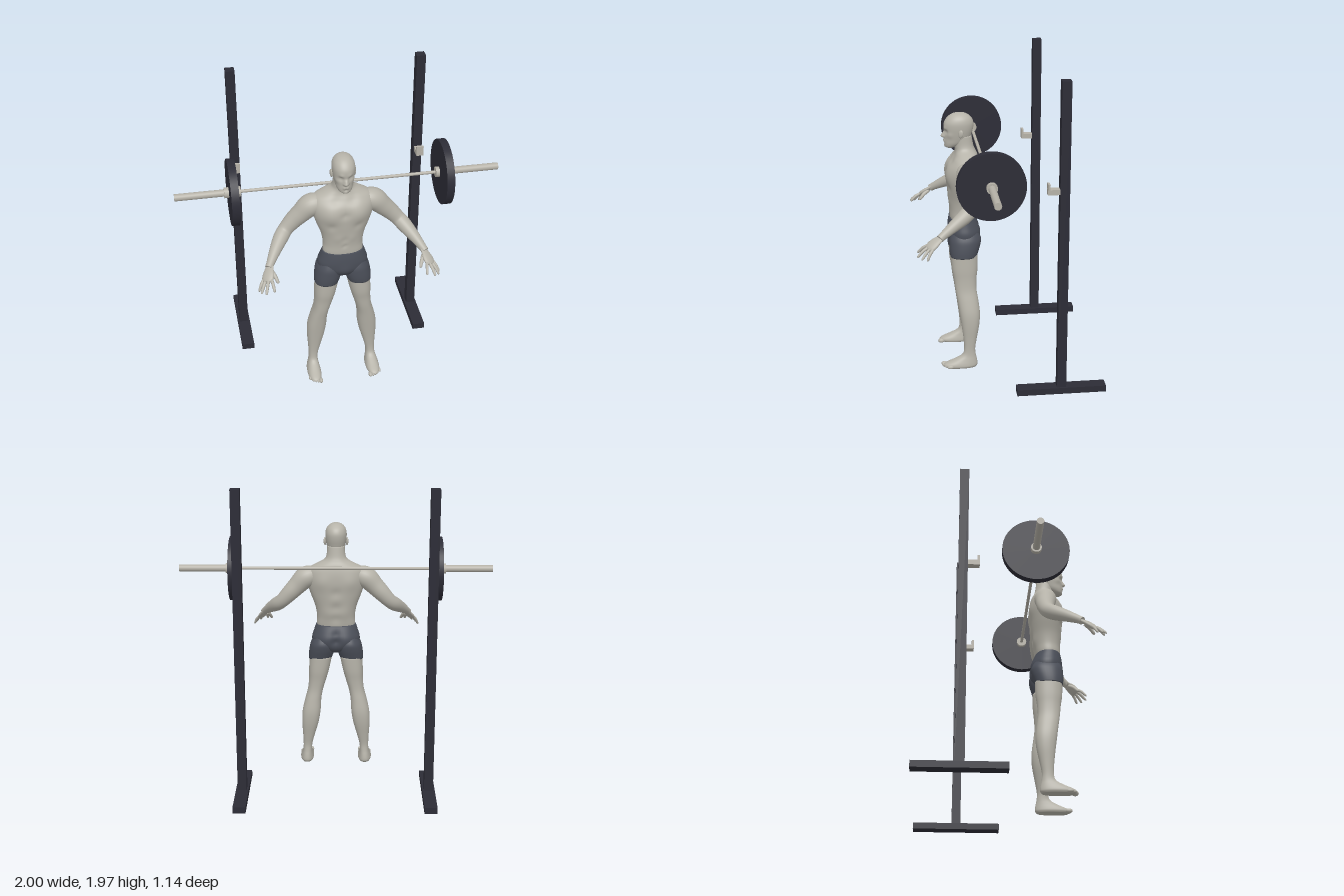
import * as THREE from 'three';

const mat = (name, color) => Object.assign(new THREE.MeshStandardMaterial({ color }), { name });
const skin = mat('skin', 0xb6b3a9);
const cloth = mat('shorts cloth', 0x4b4f59);
const iron = mat('dark iron', 0x2c2c36);
const steel = mat('steel', 0xb5b1a7);

// Catmull-Rom interpolation through rows of numbers
function smoothRows(rows, steps) {
  const out = [];
  const at = i => rows[Math.max(0, Math.min(rows.length - 1, i))];
  for (let i = 0; i < rows.length - 1; i++) {
    for (let k = 0; k < steps; k++) {
      const t = k / steps;
      out.push(rows[i].map((b, c) => {
        const a = at(i - 1)[c], d = at(i + 1)[c], e = at(i + 2)[c];
        return b + 0.5 * t * (d - a + t * (2 * a - 5 * b + 4 * d - e + t * (3 * (b - d) + e - a)));
      }));
    }
  }
  out.push(rows[rows.length - 1]);
  return out;
}

// Skins closed rings of Vector3, with both ends drawn in to a point
function skinRings(rings) {
  const n = rings[0].length;
  const closed = ring => {
    const c = ring.reduce((s, p) => s.add(p), new THREE.Vector3()).divideScalar(n);
    return ring.map(() => c.clone());
  };
  const all = [closed(rings[0]), ...rings, closed(rings[rings.length - 1])];
  const index = [];
  for (let i = 0; i < all.length - 1; i++) {
    for (let j = 0; j < n; j++) {
      const a = i * n + j, b = i * n + (j + 1) % n, c = a + n, d = b + n;
      if (i > 0) index.push(a, c, b);
      else index.push(a, c, d);
      if (i > 0 && i < all.length - 2) index.push(b, c, d);
    }
  }
  const g = new THREE.BufferGeometry().setFromPoints(all.flat());
  g.setIndex(index);
  g.computeVertexNormals();
  return g;
}

// Horizontal sections, going up: [y, xMin, xMax, zBack, zFront]
function loft(sections, { n = 40, steps = 4, power = 0.9 } = {}) {
  const pw = v => Math.sign(v) * Math.abs(v) ** power;
  return skinRings(smoothRows(sections, steps).map(([y, x0, x1, z0, z1]) =>
    Array.from({ length: n }, (_, j) => {
      const a = j / n * Math.PI * 2;
      return new THREE.Vector3((x0 + x1) / 2 + (x1 - x0) / 2 * pw(Math.cos(a)), y,
        (z0 + z1) / 2 + (z1 - z0) / 2 * pw(Math.sin(a)));
    })));
}
const symmetric = rows => rows.map(([y, x, z0, z1]) => [y, -x, x, z0, z1]);

// Limb along stations [x, y, z, radius], flattened across the side axis
function limb(stations, { n = 20, steps = 5, flat = 1, side = [1, 0, 0.3] } = {}) {
  const rows = smoothRows(stations, steps);
  const P = rows.map(r => new THREE.Vector3(r[0], r[1], r[2]));
  return skinRings(rows.map((r, i) => {
    const T = P[Math.min(i + 1, P.length - 1)].clone().sub(P[Math.max(i - 1, 0)]).normalize();
    const S = new THREE.Vector3(...side);
    S.addScaledVector(T, -S.dot(T)).normalize();
    const N = S.clone().cross(T);
    return Array.from({ length: n }, (_, j) => {
      const a = j / n * Math.PI * 2;
      return P[i].clone().addScaledVector(S, Math.cos(a) * r[3]).addScaledVector(N, Math.sin(a) * r[3] * flat);
    });
  }));
}

// Soft bumps [x, y, z, radius, height] pushed along the normal on both sides
function sculpt(g, bumps) {
  const p = g.attributes.position, nor = g.attributes.normal;
  for (let i = 0; i < p.count; i++) {
    let h = 0;
    for (const [x, y, z, r, a] of bumps) {
      const d = (Math.abs(p.getX(i)) - x) ** 2 + (p.getY(i) - y) ** 2 + (p.getZ(i) - z) ** 2;
      h += a * Math.exp(-d / (r * r));
    }
    p.setXYZ(i, p.getX(i) + nor.getX(i) * h, p.getY(i) + nor.getY(i) * h, p.getZ(i) + nor.getZ(i) * h);
  }
  g.computeVertexNormals();
  return g;
}

function mirrored(g) {
  const m = g.clone().scale(-1, 1, 1);
  m.setIndex(Array.from(g.index.array).reverse());
  m.computeVertexNormals();
  return m;
}

export function createModel() {
  const model = new THREE.Group();
  const add = (name, g, m) => {
    const mesh = new THREE.Mesh(g, m);
    mesh.name = name;
    model.add(mesh);
    return mesh;
  };
  const pair = (name, g, m) => {
    add(name + 'Left', g, m);
    add(name + 'Right', mirrored(g), m);
  };
  const box = (name, w, h, d, x, y, z, m) => add(name, new THREE.BoxGeometry(w, h, d), m).position.set(x, y, z);
  const rod = (name, r, x0, x1, m, n = 32) => {
    const g = new THREE.CylinderGeometry(r, r, Math.abs(x1 - x0), n).rotateZ(Math.PI / 2);
    add(name, g, m).position.set((x0 + x1) / 2, 1.375, 0.135);
  };

  // Rack stands and loaded bar
  rod('barShaft', 0.01, -0.62, 0.62, steel, 20);
  for (const s of [-1, 1]) {
    box('rackPost', 0.057, 1.95, 0.057, s * 0.592, 0.995, -0.3, iron);
    box('rackFoot', 0.08, 0.04, 0.553, s * 0.592, 0.02, -0.3, iron);
    box('hookArm', 0.046, 0.032, 0.075, s * 0.592, 1.31, -0.237, steel);
    box('hookLip', 0.046, 0.065, 0.014, s * 0.592, 1.327, -0.207, steel);
    rod('weightPlate', 0.203, s * 0.626, s * 0.674, iron, 48);
    rod('barSleeve', 0.022, s * 0.61, s * 1, steel);
    rod('innerCollar', 0.033, s * 0.602, s * 0.626, steel, 16);
    rod('outerCollar', 0.033, s * 0.674, s * 0.702, steel, 16);
  }

  // Torso with neck
  const torso = loft(symmetric([
    [0.93, 0.118, 0.19, 0.325], [0.975, 0.126, 0.178, 0.334], [1.03, 0.124, 0.168, 0.336],
    [1.1, 0.136, 0.157, 0.342], [1.18, 0.165, 0.147, 0.35], [1.25, 0.186, 0.142, 0.352],
    [1.31, 0.192, 0.142, 0.343], [1.355, 0.175, 0.148, 0.318], [1.385, 0.122, 0.158, 0.3],
    [1.41, 0.077, 0.17, 0.295], [1.44, 0.061, 0.18, 0.3], [1.5, 0.056, 0.19, 0.31]]), { n: 64, steps: 6 });
  add('torso', sculpt(torso, [
    [0.085, 1.265, 0.345, 0.06, 0.014], [0, 1.26, 0.35, 0.022, -0.008], [0.08, 1.18, 0.34, 0.025, -0.006],
    [0, 1.08, 0.34, 0.02, -0.004], [0.04, 1.09, 0.34, 0.03, 0.003], [0, 1.03, 0.336, 0.012, -0.006],
    [0, 1.2, 0.145, 0.035, -0.009], [0, 1.1, 0.155, 0.035, -0.009], [0, 1.02, 0.17, 0.035, -0.007],
    [0.09, 1.27, 0.15, 0.05, 0.008], [0.05, 1.06, 0.165, 0.04, 0.004],
    [0.05, 1.355, 0.32, 0.03, -0.006]]), skin);

  // Head with sculpted face
  const head = loft(symmetric([
    [1.424, 0.022, 0.305, 0.345], [1.434, 0.037, 0.28, 0.355], [1.455, 0.05, 0.235, 0.359],
    [1.485, 0.058, 0.2, 0.359], [1.52, 0.065, 0.186, 0.36], [1.555, 0.069, 0.178, 0.363],
    [1.585, 0.068, 0.178, 0.359], [1.612, 0.059, 0.19, 0.342], [1.632, 0.041, 0.213, 0.318],
    [1.641, 0.022, 0.235, 0.295], [1.644, 0.006, 0.258, 0.273]]), { n: 80, steps: 7, power: 0.93 });
  add('head', sculpt(head, [
    [0, 1.499, 0.36, 0.011, 0.02], [0, 1.515, 0.362, 0.011, 0.013], [0.01, 1.496, 0.36, 0.008, 0.006],
    [0.027, 1.531, 0.348, 0.015, -0.012], [0.027, 1.53, 0.348, 0.007, 0.005], [0.025, 1.55, 0.355, 0.014, 0.004],
    [0.008, 1.472, 0.36, 0.011, 0.006], [0.008, 1.463, 0.36, 0.008, 0.003], [0, 1.453, 0.36, 0.009, -0.005],
    [0, 1.437, 0.355, 0.014, 0.005], [0.045, 1.51, 0.325, 0.018, 0.004]]), skin);
  const ear = new THREE.SphereGeometry(1, 16, 12).scale(0.008, 0.026, 0.016);
  ear.rotateX(-0.15).rotateY(-0.35).translate(0.071, 1.523, 0.262);
  pair('ear', ear, skin);

  // Shorts: seat and two legs
  const seat = loft(symmetric([
    [0.785, 0.05, 0.2, 0.3], [0.805, 0.1, 0.17, 0.325], [0.84, 0.148, 0.153, 0.343],
    [0.885, 0.157, 0.147, 0.348], [0.93, 0.144, 0.157, 0.346], [0.972, 0.13, 0.175, 0.339]]), { n: 56, steps: 5 });
  add('shortsSeat', sculpt(seat, [
    [0.07, 0.87, 0.15, 0.055, 0.008], [0, 0.87, 0.145, 0.025, -0.016], [0, 0.92, 0.155, 0.025, -0.008],
    [0, 0.85, 0.345, 0.035, 0.006]]), cloth);
  pair('shortsLeg', loft([
    [0.737, 0.028, 0.18, 0.171, 0.34], [0.77, 0.016, 0.179, 0.16, 0.344], [0.81, 0.008, 0.174, 0.148, 0.345],
    [0.85, 0.01, 0.164, 0.144, 0.342], [0.895, 0.03, 0.14, 0.165, 0.325]]), cloth);

  // Legs run from sole to thigh
  pair('leg', loft([
    [0.002, 0.155, 0.233, 0.192, 0.388], [0.014, 0.15, 0.239, 0.183, 0.4], [0.03, 0.152, 0.237, 0.182, 0.388],
    [0.055, 0.158, 0.229, 0.186, 0.33], [0.085, 0.162, 0.221, 0.192, 0.278], [0.13, 0.159, 0.219, 0.195, 0.266],
    [0.2, 0.141, 0.222, 0.183, 0.27], [0.29, 0.116, 0.227, 0.166, 0.281], [0.37, 0.103, 0.223, 0.161, 0.292],
    [0.45, 0.098, 0.205, 0.17, 0.303], [0.52, 0.085, 0.187, 0.179, 0.314], [0.59, 0.064, 0.18, 0.177, 0.322],
    [0.66, 0.045, 0.179, 0.169, 0.333], [0.76, 0.024, 0.174, 0.166, 0.337]], { power: 0.85 }), skin);
  for (let i = 0; i < 5; i++) {
    const toe = new THREE.SphereGeometry(1, 14, 10).scale(i ? 0.009 : 0.013, i ? 0.011 : 0.014, 0.022);
    pair('toe', toe.translate(0.165 + i * 0.0165, 0.014, 0.392 - i * i * 0.0022), skin);
  }

  // Arms from deltoid to wrist
  pair('arm', limb([
    [0.11, 1.3, 0.238, 0.045], [0.155, 1.303, 0.235, 0.064], [0.2, 1.288, 0.23, 0.07], [0.25, 1.238, 0.226, 0.061],
    [0.3, 1.187, 0.222, 0.054], [0.35, 1.133, 0.231, 0.046], [0.385, 1.1, 0.268, 0.046], [0.43, 1.058, 0.337, 0.036],
    [0.47, 1.015, 0.405, 0.025], [0.482, 1.0, 0.425, 0.024]], { n: 28, side: [0.7, 0.7, 0] }), skin);

  // Hands with spread fingers
  const across = [0.085, -0.025, -0.055];
  pair('palm', limb([
    [0.468, 1.017, 0.402, 0.022], [0.479, 0.999, 0.428, 0.027], [0.489, 0.978, 0.458, 0.037],
    [0.498, 0.958, 0.482, 0.038], [0.503, 0.946, 0.496, 0.03]], { flat: 0.42, side: across }), skin);
  const tips = [[0.467, 0.913, 0.56], [0.518, 0.902, 0.563], [0.545, 0.894, 0.538], [0.555, 0.89, 0.506]];
  const finger = (name, a, b, r) => {
    const at = (t, lift, k) => [0, 1, 2].map(c => a[c] + (b[c] - a[c]) * t + (c === 1 ? lift : 0)).concat(r * k);
    pair(name, limb([at(0, 0, 1), at(0.5, 0.008, 1), at(0.9, 0.003, 0.8), at(1, 0, 0.35)],
      { n: 12, side: across }), skin);
  };
  tips.forEach((tip, i) => {
    const k = (i - 1.5) * 0.17;
    finger('finger', [0.499 + across[0] * k, 0.957 + across[1] * k, 0.483 + across[2] * k], tip, 0.0095);
  });
  finger('thumb', [0.468, 0.985, 0.442], [0.437, 0.932, 0.503], 0.012);

  return model;
}
